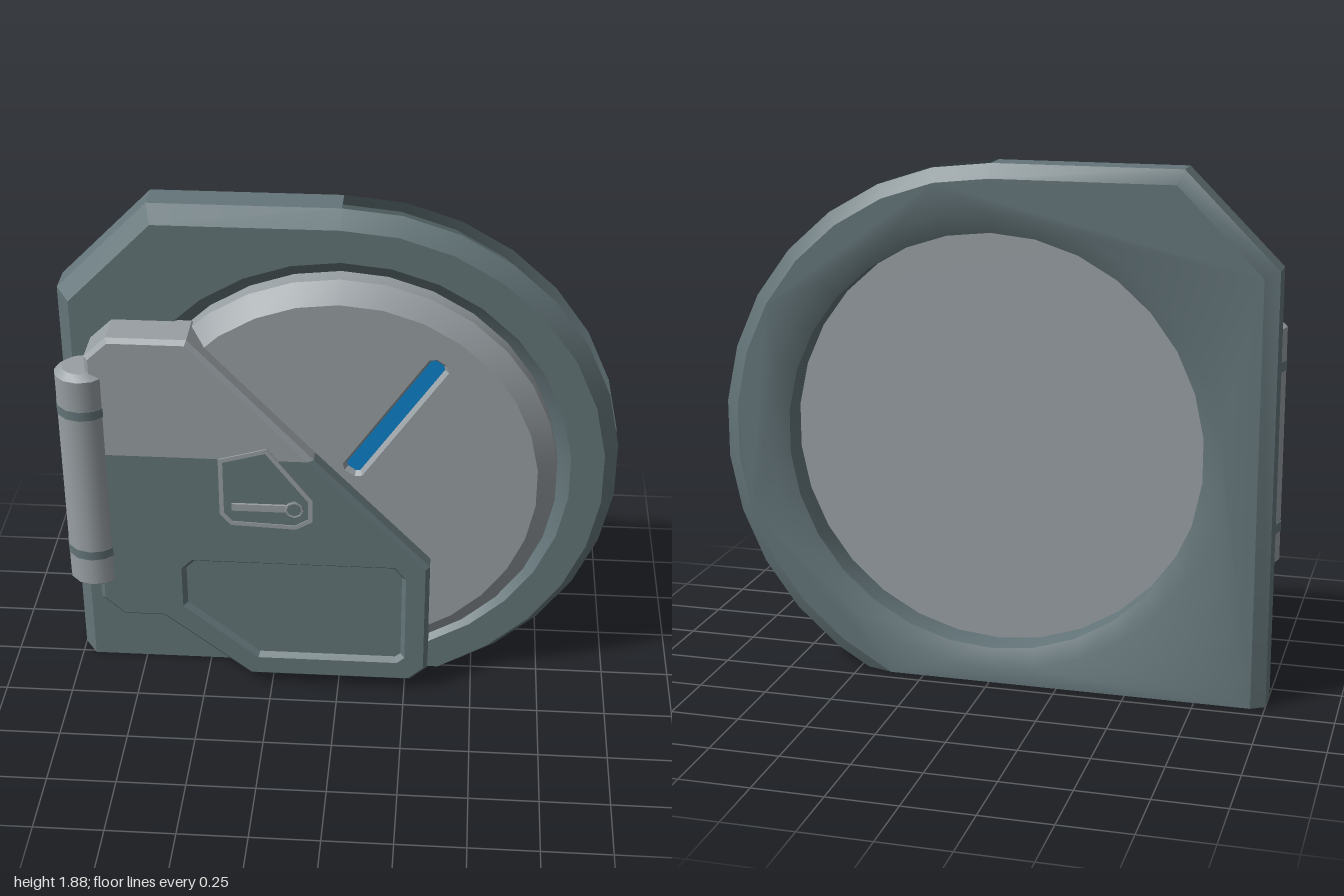
import * as THREE from 'three';
import { mergeGeometries, toCreasedNormals } from 'three/addons/utils/BufferGeometryUtils.js';

const mat = (name, color, side = THREE.FrontSide) => {
  const m = new THREE.MeshStandardMaterial({ color, side });
  m.name = name;
  return m;
};
const CY = 0.88; // height of the round opening's centre

// Move each edge of a counter-clockwise outline inwards by dist(edgeIndex)
function inset(pts, dist) {
  const n = pts.length;
  const line = (i) => {
    const a = pts[i], b = pts[(i + 1) % n];
    const l = Math.hypot(b[0] - a[0], b[1] - a[1]);
    const nx = -(b[1] - a[1]) / l, ny = (b[0] - a[0]) / l;
    return [nx, ny, nx * a[0] + ny * a[1] + dist(i)];
  };
  return pts.map((_, i) => {
    const [a, b, c] = line((i + n - 1) % n), [d, e, f] = line(i);
    const det = a * e - b * d;
    return [(c * e - b * f) / det, (a * f - c * d) / det];
  });
}

// Walls joining outlines placed at successive depths: rings = [[outline, z], ...]
function walls(rings, skip = () => false) {
  const pos = [];
  for (let k = 0; k < rings.length - 1; k++) {
    const [A, za] = rings[k], [B, zb] = rings[k + 1], n = A.length;
    for (let i = 0; i < n; i++) {
      if (skip(i, k)) continue;
      const j = (i + 1) % n;
      const a = [...A[i], za], b = [...A[j], za], c = [...B[j], zb], d = [...B[i], zb];
      pos.push(...a, ...b, ...c, ...a, ...c, ...d);
    }
  }
  const g = new THREE.BufferGeometry();
  g.setAttribute('position', new THREE.Float32BufferAttribute(pos, 3));
  return g;
}

// Flat face from an outline with optional holes
function face(pts, z, holes = [], back = false) {
  const v = (p) => p.map(([x, y]) => new THREE.Vector2(x, y));
  const s = new THREE.Shape(v(pts));
  s.holes = holes.map((h) => new THREE.Path(v(h)));
  let g = new THREE.ShapeGeometry(s);
  if (back) {
    const ix = g.index.array;
    for (let i = 0; i < ix.length; i += 3) [ix[i], ix[i + 1]] = [ix[i + 1], ix[i]];
  }
  g = g.toNonIndexed().translate(0, 0, z);
  g.deleteAttribute('uv');
  g.deleteAttribute('normal');
  return g;
}

const join = (...parts) => toCreasedNormals(mergeGeometries(parts), 0.5);

const circle = (r, n = 30, cx = 0, cy = CY) => Array.from({ length: n }, (_, i) => {
  const t = (i / n) * Math.PI * 2 + Math.PI / 2;
  return [cx + r * Math.cos(t), cy + r * Math.sin(t)];
});

export function createModel() {
  const root = new THREE.Group();
  root.name = 'roundDoor';
  const frameMat = mat('frameSlate', 0x647579, THREE.DoubleSide);
  const slate = mat('slate', 0x647579);
  const grey = mat('lightGrey', 0x989fa3);
  const blue = mat('blue', 0x0d82cc);
  const add = (name, geometry, material, parent = root) => {
    const m = new THREE.Mesh(geometry, material);
    m.name = name;
    parent.add(m);
    return m;
  };

  // Frame: open-bottomed shell with gaps in its outer band
  const outline = [[-1, 0], [0.47, 0]];
  for (let a = -54; a <= 90; a += 12) {
    const t = THREE.MathUtils.degToRad(a);
    outline.push([Math.cos(t), CY + Math.sin(t)]);
  }
  outline.push([-0.67, 1.88], [-1, 1.55]);
  const inner = inset(outline, (i) => (i === 0 ? 0 : 0.05));
  const gap = (i, k) => i === 0 || (k === 1 && i <= 13 && i !== 4);
  const wide = circle(0.83), narrow = circle(0.76);
  const flip = (p) => [...p].reverse();
  add('frame', join(
    walls([[inner, -0.2], [outline, -0.17], [outline, -0.06], [inner, 0.01]], gap),
    face(inner, 0.01, [wide]),
    face(inner, -0.2, [wide], true),
    walls([[flip(wide), -0.2], [flip(narrow), -0.17], [flip(narrow), -0.06], [flip(wide), 0.01]]),
  ), frameMat);

  // Round door with a sunken slot
  const rim = circle(0.78), front = circle(0.71);
  const ang = Math.atan2(0.42, 0.29), c = Math.cos(ang), s = Math.sin(ang);
  const slot = [[-0.28, -0.022], [-0.262, -0.042], [0.262, -0.042], [0.28, -0.022],
    [0.28, 0.022], [0.262, 0.042], [-0.262, 0.042], [-0.28, 0.022]]
    .map(([u, v]) => [0.197 + u * c - v * s, 1.148 + u * s + v * c]);
  const slotFloor = inset(slot, () => 0.013);
  add('door', join(
    face(rim, -0.03, [], true),
    walls([[rim, -0.03], [rim, 0.035], [front, 0.09]]),
    face(front, 0.09, [slot]),
    walls([[flip(slotFloor), 0.07], [flip(slot), 0.09]]),
  ), grey);
  add('slotLight', join(face(slotFloor, 0.07)), blue);

  // Door arm: upper light half and lower dark half, meeting at y = 1
  const arm = (name, pts, seam, material, hole) => {
    const top = inset(pts, (i) => (i === seam ? 0 : 0.015));
    const parts = [
      face(pts, 0, [], true),
      walls([[pts, 0], [pts, 0.143], [top, 0.16]], (i) => i === seam),
      face(top, 0.16, hole ? [hole] : []),
    ];
    if (hole) {
      const floor = inset(hole, () => 0.016);
      parts.push(walls([[flip(floor), 0.14], [flip(hole), 0.16]]), face(floor, 0.14));
    }
    add(name, join(...parts), material);
  };
  const seamX = -0.0856;
  arm('armUpper', [[-0.88, 1], [seamX, 1], [-0.52, 1.465], [-0.8, 1.465], [-0.88, 1.39]], 0, grey);
  arm('armLower', [[-0.88, 1], [-0.88, 0.37], [-0.8, 0.295], [-0.65, 0.295], [-0.33, 0.04],
    [0.27, 0.04], [0.335, 0.1], [0.335, 0.56], [seamX, 1]], 8, slate,
  [[-0.575, 0.35], [-0.3, 0.125], [0.22, 0.125], [0.25, 0.15], [0.25, 0.51], [0.21, 0.56],
    [-0.535, 0.56], [-0.575, 0.52]]);

  // Handle panel: thin pale border, dark floor, lever and knob
  const handle = new THREE.Group();
  handle.name = 'handle';
  root.add(handle);
  const panel = [[-0.425, 0.77], [-0.385, 0.725], [-0.15, 0.715], [-0.09, 0.75], [-0.09, 0.84],
    [-0.25, 1.05], [-0.425, 1.0]];
  const panelIn = inset(panel, () => 0.016);
  add('handleBorder', join(
    walls([[panel, 0.16], [panel, 0.165]]),
    face(panel, 0.165, [panelIn]),
    walls([[flip(panelIn), 0.161], [flip(panelIn), 0.165]]),
  ), grey, handle);
  add('handleFloor', join(face(panelIn, 0.162)), slate, handle);
  add('lever', new THREE.BoxGeometry(0.2, 0.028, 0.01), grey, handle).position.set(-0.28, 0.805, 0.166);
  const knob = add('knob', new THREE.CylinderGeometry(0.034, 0.034, 0.01, 8), slate, handle);
  knob.rotation.x = Math.PI / 2;
  knob.position.set(-0.155, 0.803, 0.167);
  add('knobRing', new THREE.TorusGeometry(0.03, 0.005, 4, 8), grey, handle).position.set(-0.155, 0.803, 0.171);

  // Hinge barrel with two dark bands
  const hinge = new THREE.Group();
  hinge.name = 'hinge';
  hinge.position.set(-0.9, 0, 0.1);
  root.add(hinge);
  const barrel = new THREE.LatheGeometry(
    [[0, 0.44], [0.07, 0.44], [0.098, 0.46], [0.098, 1.31], [0.07, 1.33], [0, 1.33]]
      .map(([r, y]) => new THREE.Vector2(r, y)), 12);
  add('hingeBarrel', toCreasedNormals(barrel, 0.6), grey, hinge);
  for (const y of [0.585, 1.175]) {
    add('hingeBand', new THREE.CylinderGeometry(0.1, 0.1, 0.035, 12), slate, hinge).position.y = y;
  }
  return root;
}
